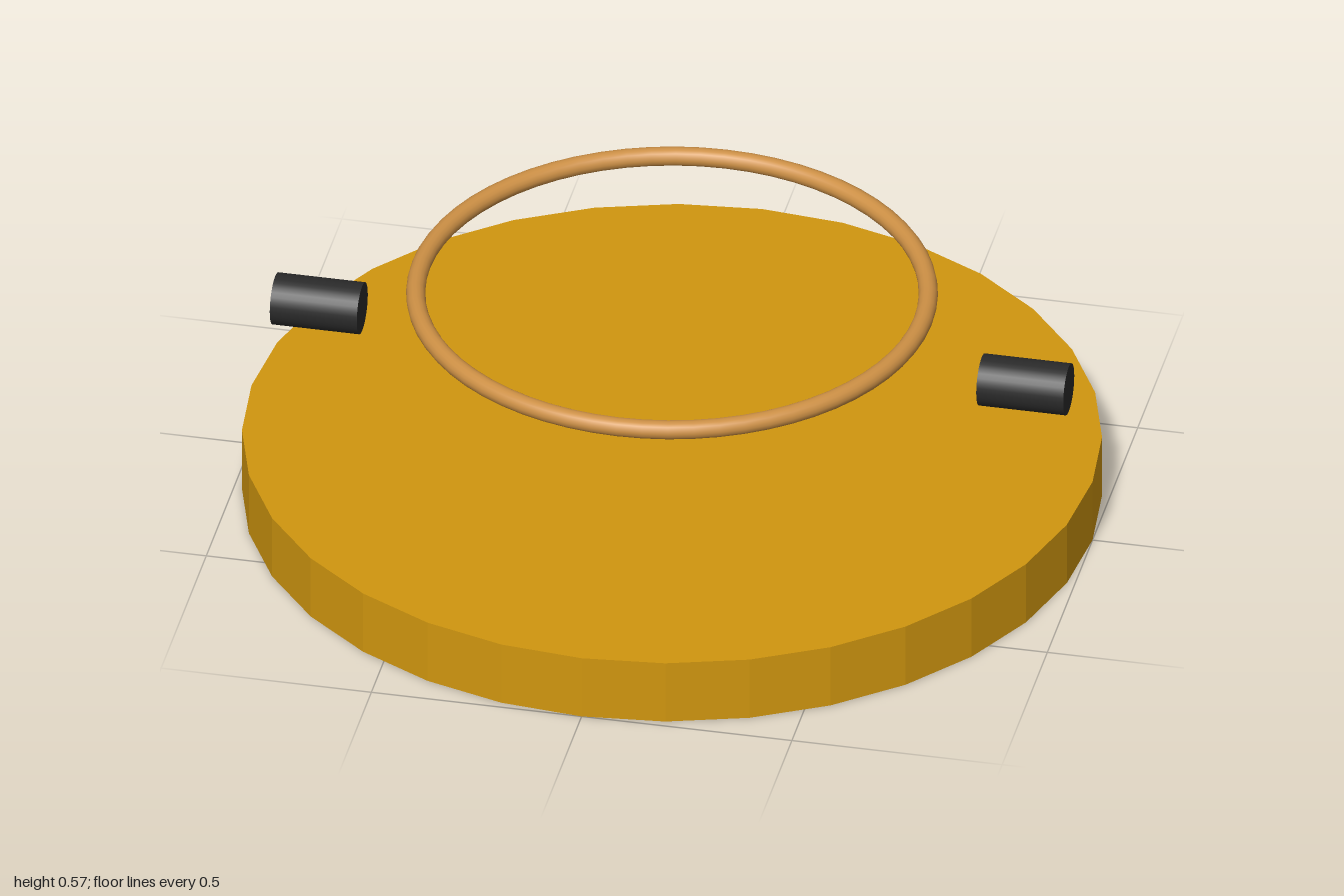
import * as THREE from 'three';

export function createModel() {
  const model = new THREE.Group();
  const gold = new THREE.MeshStandardMaterial({ name: 'gold', color: 0xd0960f });
  gold.flatShading = true;
  const bronze = new THREE.MeshStandardMaterial({ name: 'bronze', color: 0xcd9045 });
  const black = new THREE.MeshStandardMaterial({ name: 'black', color: 0x2a2a2a });

  const add = (name, geometry, material, x, y) => {
    const mesh = new THREE.Mesh(geometry, material);
    mesh.name = name;
    mesh.position.set(x, y, 0);
    model.add(mesh);
    return mesh;
  };

  // Faceted base disc
  add('baseDisc', new THREE.CylinderGeometry(1, 1, 0.16, 32), gold, 0, 0.08);

  // Thin ring floating above the disc
  add('ring', new THREE.TorusGeometry(0.596, 0.0225, 16, 64), bronze, 0, 0.547)
    .rotation.x = Math.PI / 2;

  // Grips on both sides, lying along x
  for (const [name, side] of [['leftGrip', 1], ['rightGrip', -1]]) {
    add(name, new THREE.CylinderGeometry(0.061, 0.061, 0.207, 32), black, side * 0.84, 0.407)
      .rotation.z = Math.PI / 2;
  }
  return model;
}
